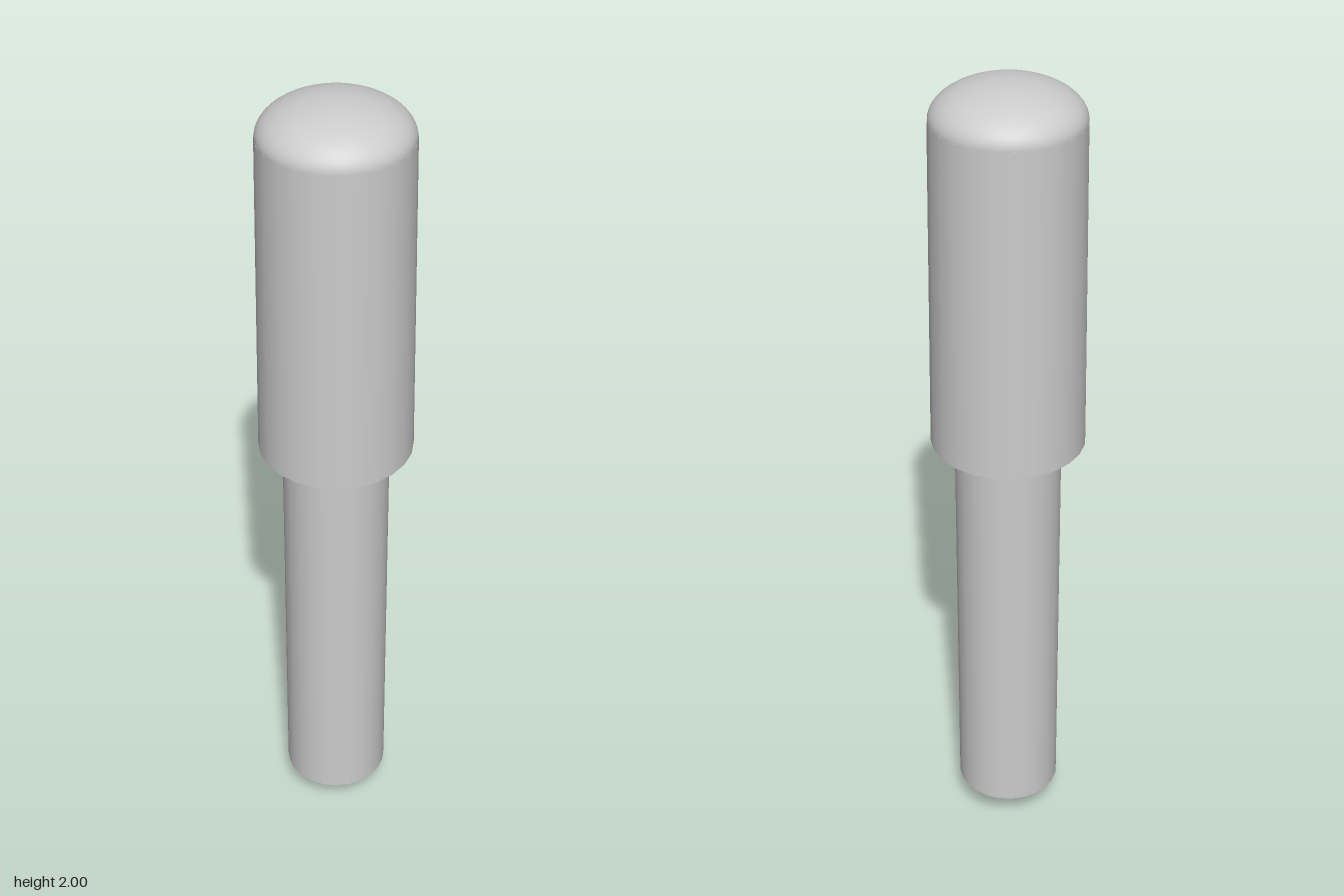
import * as THREE from 'three';

export function createModel() {
  const group = new THREE.Group();
  const material = new THREE.MeshStandardMaterial({ color: 0xcccccc });
  const add = (name, geometry, y) => {
    const mesh = new THREE.Mesh(geometry, material);
    mesh.name = name;
    mesh.position.y = y;
    group.add(mesh);
  };

  const tipHeight = 0.1, shaftTop = 1.12, gripTop = 1.915;
  const sides = 24;

  // Pointed tip, apex down
  add('tip', new THREE.ConeGeometry(0.125, tipHeight, sides).rotateX(Math.PI), tipHeight / 2);

  // Straight shaft
  add('shaft', new THREE.CylinderGeometry(0.125, 0.125, shaftTop - tipHeight, sides, 1, true),
    (shaftTop + tipHeight) / 2);

  // Slightly tapered grip
  add('grip', new THREE.CylinderGeometry(0.173, 0.181, gripTop - shaftTop, sides),
    (gripTop + shaftTop) / 2);

  // Flattened dome on top of the grip
  const dome = new THREE.SphereGeometry(0.172, 48, 16, 0, Math.PI * 2, 0, Math.PI / 2);
  dome.scale(1, (2 - gripTop) / 0.172, 1);
  add('domeCap', dome, gripTop);

  return group;
}
